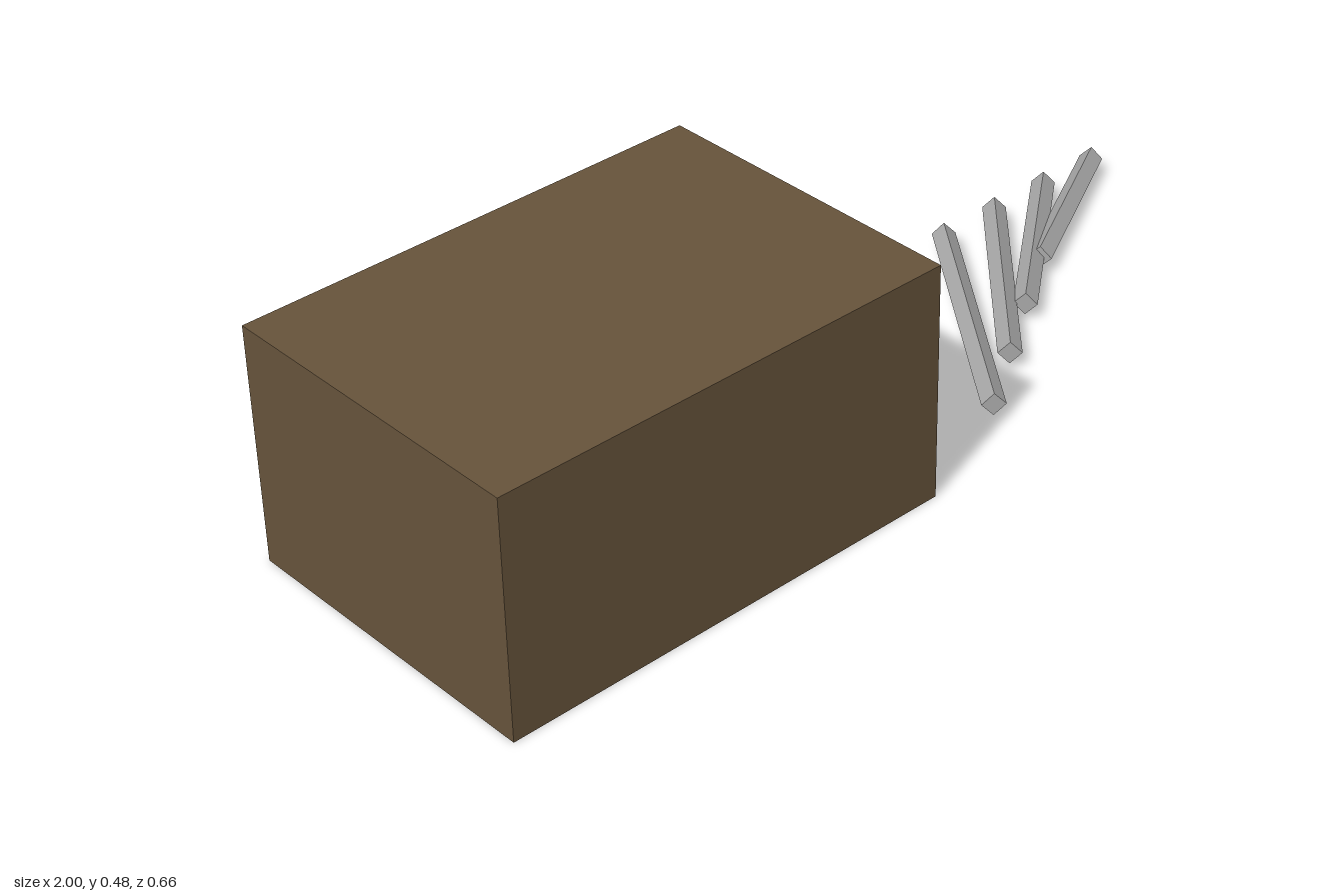
import * as THREE from 'three';

export function createModel() {
  const model = new THREE.Group();
  const brown = new THREE.MeshStandardMaterial({ color: 0x66533b });
  brown.name = 'brown';
  const grey = new THREE.MeshStandardMaterial({ color: 0xa8a8a8 });
  grey.name = 'grey';

  // Large solid block, resting on the ground
  const block = new THREE.Mesh(new THREE.BoxGeometry(0.955, 0.48, 0.66), brown);
  block.name = 'block';
  block.position.set(-0.5225, 0.24, 0);
  model.add(block);

  // Fan of square rods lying on edge, each one shorter and turned further
  const rods = new THREE.Group();
  rods.name = 'rods';
  const side = 0.0235 * Math.SQRT2;
  const run = 0.36;
  const backZ = -0.24;
  for (let i = 0; i < 4; i++) {
    const startX = 0.197 + i * 0.144;
    const frontZ = 0.24 - i * 0.096;
    const depth = backZ - frontZ;
    const geometry = new THREE.BoxGeometry(side, side, Math.hypot(run, depth));
    geometry.rotateZ(Math.PI / 4);
    const rod = new THREE.Mesh(geometry, grey);
    rod.name = `rod${i + 1}`;
    rod.position.set(startX + run / 2, 0.0365, (frontZ + backZ) / 2);
    rod.rotation.y = Math.atan2(run, depth);
    rods.add(rod);
  }
  model.add(rods);
  return model;
}
